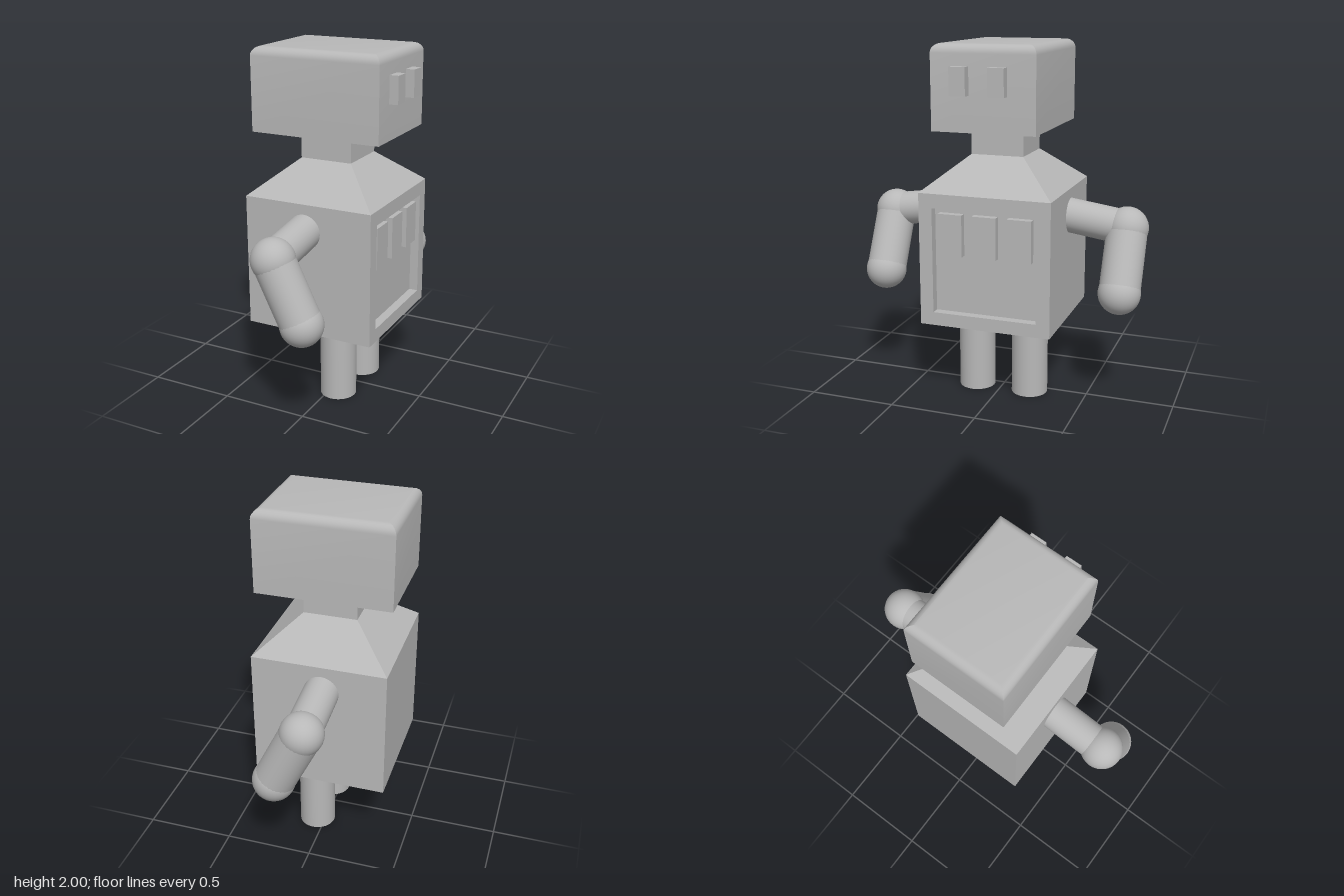
import * as THREE from 'three';
import { toCreasedNormals } from 'three/addons/utils/BufferGeometryUtils.js';

const metal = new THREE.MeshStandardMaterial({ color: 0xb8b8b8 });
metal.name = 'grey metal';

const UP = new THREE.Vector3(0, 1, 0);

function add(parent, name, geometry) {
  const mesh = new THREE.Mesh(geometry, metal);
  mesh.name = name;
  parent.add(mesh);
  return mesh;
}

// Box given by its limits on each axis
function block(parent, name, x0, x1, y0, y1, z0, z1) {
  const mesh = add(parent, name, new THREE.BoxGeometry(x1 - x0, y1 - y0, z1 - z0));
  mesh.position.set((x0 + x1) / 2, (y0 + y1) / 2, (z0 + z1) / 2);
  return mesh;
}

// Cylinder between two points
function rod(parent, name, a, b, radius) {
  const dir = b.clone().sub(a);
  const mesh = add(parent, name, new THREE.CylinderGeometry(radius, radius, dir.length(), 32));
  mesh.position.copy(a).add(b).multiplyScalar(0.5);
  mesh.quaternion.setFromUnitVectors(UP, dir.normalize());
  return mesh;
}

function ball(parent, name, centre, radius) {
  add(parent, name, new THREE.SphereGeometry(radius, 32, 20)).position.copy(centre);
}

// Solid through stacked rectangles, each [y, half width in x, half width in z]
function stack(levels, cx) {
  const pos = [];
  const rings = levels.map(([y, hx, hz]) => [
    [cx - hx, y, -hz], [cx - hx, y, hz], [cx + hx, y, hz], [cx + hx, y, -hz],
  ]);
  const quad = (a, b, c, d) => pos.push(...a, ...b, ...c, ...a, ...c, ...d);
  for (let k = 0; k < rings.length - 1; k++) {
    for (let i = 0; i < 4; i++) {
      const j = (i + 1) % 4;
      quad(rings[k][i], rings[k][j], rings[k + 1][j], rings[k + 1][i]);
    }
  }
  const [b, t] = [rings[0], rings[rings.length - 1]];
  quad(b[3], b[2], b[1], b[0]);
  quad(t[0], t[1], t[2], t[3]);
  const geometry = new THREE.BufferGeometry();
  geometry.setAttribute('position', new THREE.Float32BufferAttribute(pos, 3));
  geometry.computeVertexNormals();
  return toCreasedNormals(geometry, 0.4);
}

export function createModel() {
  const robot = new THREE.Group();
  robot.name = 'robot';
  const cx = -0.025; // middle of body and head along x

  // Body with a recessed panel in its +x face
  block(robot, 'body', -0.4, 0.3, 0.45, 1.2, -0.375, 0.375);
  const rect = (Type, w, y0, y1) => new Type([
    new THREE.Vector2(-w, y0), new THREE.Vector2(w, y0),
    new THREE.Vector2(w, y1), new THREE.Vector2(-w, y1),
  ]);
  const frame = rect(THREE.Shape, 0.375, 0.45, 1.2);
  frame.holes.push(rect(THREE.Path, 0.298, 0.525, 1.12));
  const frameGeometry = new THREE.ExtrudeGeometry(frame, { depth: 0.05, bevelEnabled: false });
  frameGeometry.rotateY(Math.PI / 2).translate(0.3, 0, 0);
  add(robot, 'panelFrame', frameGeometry);

  // Buttons in the panel
  for (const z of [-0.197, 0.002, 0.198]) {
    block(robot, 'button', 0.29, 0.34, 0.855, 1.09, z - 0.069, z + 0.069);
  }

  // Sloping shoulders and neck
  add(robot, 'shoulders', stack([[1.2, 0.375, 0.375], [1.39, 0.15, 0.15]], cx));
  block(robot, 'neck', cx - 0.15, cx + 0.15, 1.38, 1.55, -0.15, 0.15);

  // Head with rounded top edges
  const r = 0.05;
  const levels = [[1.54, 0.375, 0.29]];
  for (let i = 0; i <= 6; i++) {
    const a = (i / 6) * Math.PI / 2;
    const inset = r * (1 - Math.cos(a));
    levels.push([2 - r + r * Math.sin(a), 0.375 - inset, 0.29 - inset]);
  }
  add(robot, 'head', stack(levels, cx));

  // Eyes
  for (const z of [0.121, -0.09]) {
    block(robot, 'eye', 0.34, 0.4, 1.735, 1.885, z - 0.045, z + 0.045);
  }

  // Legs
  for (const z of [0.151, -0.171]) {
    rod(robot, 'leg', new THREE.Vector3(0.05, 0, z), new THREE.Vector3(0.05, 0.46, z), 0.104);
  }

  // Arms
  for (const side of [1, -1]) {
    const arm = new THREE.Group();
    arm.name = side > 0 ? 'leftArm' : 'rightArm';
    robot.add(arm);
    const shoulder = new THREE.Vector3(-0.043, 1.057, side * 0.3);
    const elbow = new THREE.Vector3(-0.043, 1.0, side * 0.698);
    const hand = new THREE.Vector3(0.117, 0.673, side * 0.698);
    rod(arm, 'upperArm', shoulder, elbow, 0.097);
    ball(arm, 'elbow', elbow, 0.118);
    rod(arm, 'forearm', elbow, hand, 0.113);
    ball(arm, 'hand', hand, 0.117);
  }
  return robot;
}
